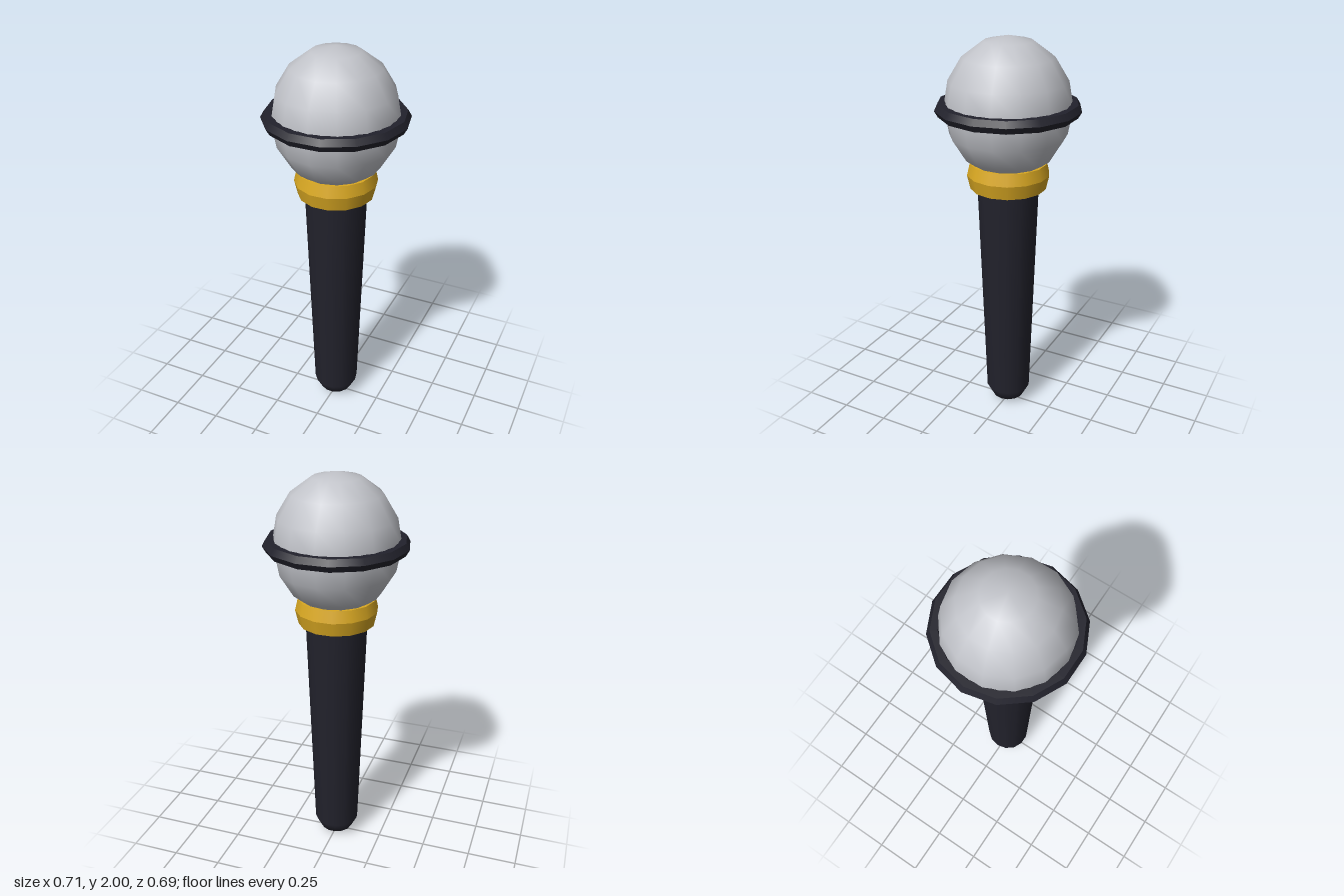
import * as THREE from 'three';

const SIDES = 14;

// Turned part from [radius, y] points, listed upward along the outside.
// With creased set, each corner is doubled so the bands keep sharp edges.
function turned(name, profile, material, creased = false) {
  const points = [];
  profile.forEach(([r, y], i) => {
    points.push(new THREE.Vector2(r, y));
    if (creased && i > 0 && i < profile.length - 1) points.push(new THREE.Vector2(r, y));
  });
  const geometry = new THREE.LatheGeometry(points, SIDES);
  geometry.rotateY(Math.PI / 2); // put a corner on the x axis
  const mesh = new THREE.Mesh(geometry, material);
  mesh.name = name;
  return mesh;
}

export function createModel() {
  const black = new THREE.MeshStandardMaterial({ name: 'black', color: 0x22222c });
  const gold = new THREE.MeshStandardMaterial({ name: 'gold', color: 0xd9a822 });
  const silver = new THREE.MeshStandardMaterial({ name: 'silver', color: 0xc2c4ca });

  const group = new THREE.Group();
  group.name = 'microphone';

  // Tapered handle with a rounded butt
  group.add(turned('handle', [
    [0, 0], [0.05, 0.012], [0.085, 0.028], [0.117, 0.09], [0.155, 1.27], [0.155, 1.3],
  ], black));

  // Collar between handle and head
  group.add(turned('collar', [
    [0.13, 1.26], [0.19, 1.26], [0.206, 1.33], [0.192, 1.39], [0.13, 1.39],
  ], gold, true));

  // Slightly tall round head
  const head = new THREE.SphereGeometry(0.31, SIDES, 8);
  head.rotateY(Math.PI / 2);
  head.scale(1, 0.34 / 0.31, 1);
  const headMesh = new THREE.Mesh(head, silver);
  headMesh.name = 'head';
  headMesh.position.y = 1.66;
  group.add(headMesh);

  // Band round the head, six-sided in section
  const section = [];
  for (let i = 0; i <= 6; i++) {
    const a = -Math.PI + (i * Math.PI) / 3;
    section.push([0.32 + 0.035 * Math.cos(a), 1.66 + 0.035 * Math.sin(a)]);
  }
  group.add(turned('headBand', section, black, true));

  return group;
}
